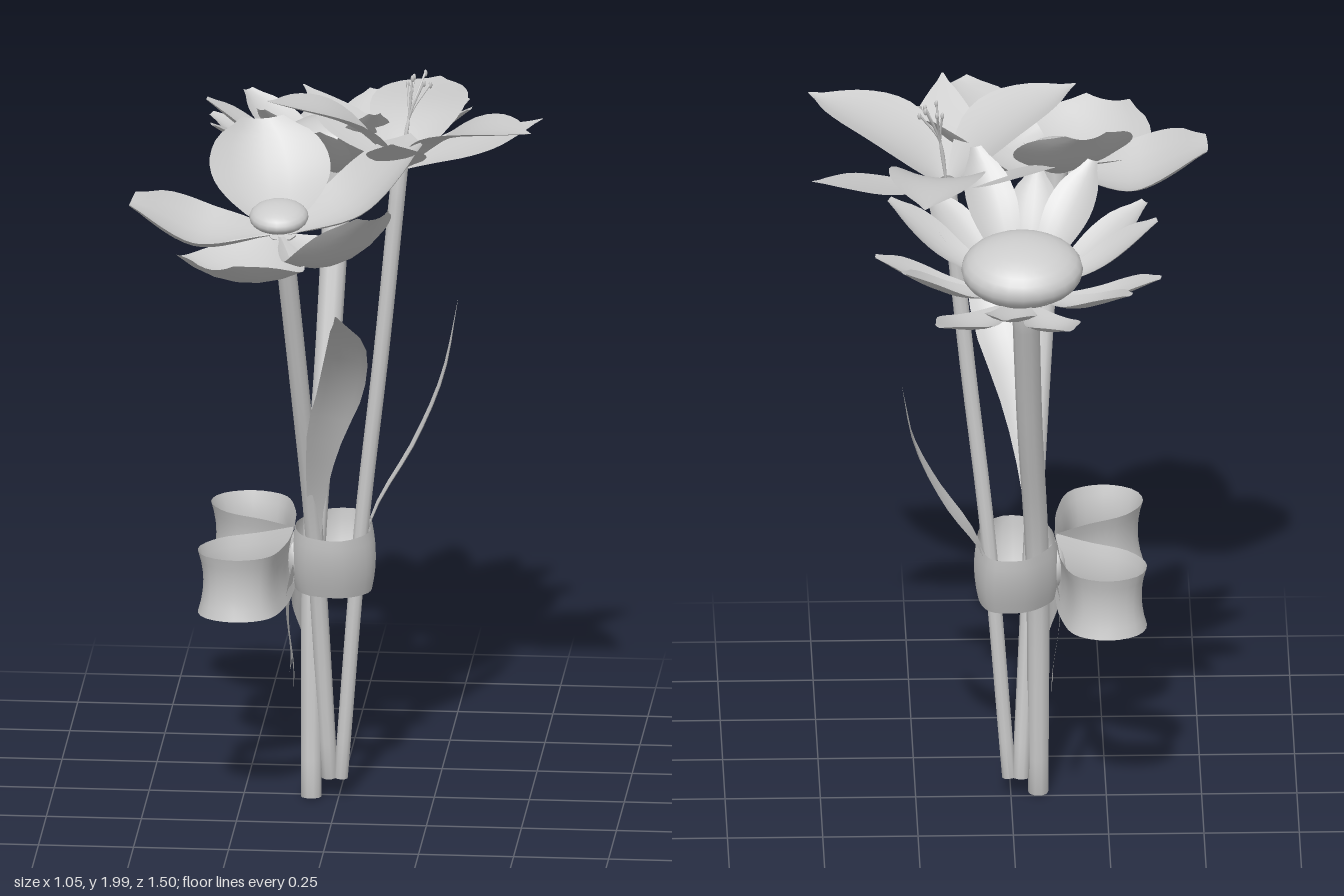
import * as THREE from 'three';

const V = (p) => new THREE.Vector3(...p);
const grey = new THREE.MeshStandardMaterial({ color: 0xcccccc, side: THREE.DoubleSide });

function addMesh(parent, name, geometry) {
  const mesh = new THREE.Mesh(geometry, grey);
  mesh.name = name;
  parent.add(mesh);
  return mesh;
}

function addGroup(parent, name) {
  const group = new THREE.Group();
  group.name = name;
  parent.add(group);
  return group;
}

// Smooth sheet from rows x cols, where pointAt(u, v) returns a Vector3
function sheet(rows, cols, pointAt) {
  const pos = [], index = [];
  for (let i = 0; i <= rows; i++) {
    for (let j = 0; j <= cols; j++) {
      pos.push(...pointAt(i / rows, j / cols).toArray());
      if (i < rows && j < cols) {
        const a = i * (cols + 1) + j, b = a + cols + 1;
        index.push(a, a + 1, b, b, a + 1, b + 1);
      }
    }
  }
  const g = new THREE.BufferGeometry();
  g.setAttribute('position', new THREE.Float32BufferAttribute(pos, 3));
  g.setIndex(index);
  g.computeVertexNormals();
  return g;
}

// Petal or leaf: half widths swept along a curve, with a cupped cross-section
function blade(points, widths, cup, side) {
  const curve = new THREE.CatmullRomCurve3(points.map(V));
  const across = side ? V(side).normalize()
    : V(points.at(-1)).sub(V(points[0])).cross(V([0, 1, 0])).normalize();
  const widthCurve = new THREE.SplineCurve(widths.map((w, i) => new THREE.Vector2(i, w)));
  return sheet(14, 6, (u, v) => {
    const s = v * 2 - 1, w = Math.max(0.001, widthCurve.getPoint(u).y);
    const normal = across.clone().cross(curve.getTangentAt(u)).normalize();
    return curve.getPointAt(u).addScaledVector(across, s * w).addScaledVector(normal, cup * w * s * s);
  });
}

// Petal from flower base to tip; bend shifts the middle point up or down
function petal(base, tip, mid, bend, widths, cup) {
  const m = base.map((b, i) => b + (tip[i] - b) * mid);
  m[1] += bend;
  return blade([base, m, tip], widths, cup);
}

// Tapered stem along a curve, closed at both ends
function stem(points, r0, r1) {
  const curve = new THREE.CatmullRomCurve3(points.map(V));
  const n = 16, frames = curve.computeFrenetFrames(n, false);
  return sheet(n + 2, 10, (u, v) => {
    const k = Math.round(u * (n + 2)), i = Math.min(n, Math.max(0, k - 1));
    const r = k === 0 || k === n + 2 ? 0 : r0 + (r1 - r0) * (i / n);
    const a = v * Math.PI * 2;
    return curve.getPointAt(i / n)
      .addScaledVector(frames.normals[i], r * Math.cos(a))
      .addScaledVector(frames.binormals[i], r * Math.sin(a));
  });
}

// Upright ribbon along a plan path of [x, z], waisted in the middle and narrowing in z downwards
function ribbon(path, closed, waist, taper) {
  const curve = new THREE.CatmullRomCurve3(path.map(([x, z]) => V([x, 0, z])), closed);
  return sheet(32, 6, (u, v) => {
    const t = curve.getTangentAt(u), s = v * 2 - 1;
    const p = curve.getPointAt(u).addScaledVector(V([-t.z, 0, t.x]), waist * (1 - s * s));
    p.z *= 1 - taper * (1 - v);
    p.y = 0.665 + 0.085 * s;
    return p;
  });
}

function buildLily(parent) {
  const g = addGroup(parent, 'lily');
  addMesh(g, 'lilyStem', stem([[0.005, 0.06, 0.01], [0.06, 0.75, 0.025], [0.115, 1.25, 0.04], [0.165, 1.765, 0.045]], 0.019, 0.022));
  const base = [0.167, 1.745, 0.04];
  const wide = [0.015, 0.078, 0.122, 0.12, 0.078, 0.002];
  const narrow = [0.01, 0.035, 0.07, 0.078, 0.045, 0.002];
  for (const tip of [[0.235, 1.87, -0.385], [-0.175, 1.97, 0.19], [0.525, 1.92, 0.26]])
    addMesh(g, 'lilyInnerPetal', petal(base, tip, 0.4, 0.05, wide, 0.2));
  for (const tip of [[0.525, 1.84, -0.13], [0.17, 1.92, 0.38], [-0.11, 1.9, -0.19]])
    addMesh(g, 'lilyOuterPetal', petal(base, tip, 0.45, -0.005, narrow, 0.05));
  // Stamens fan out from the throat
  for (let i = 0; i < 6; i++) {
    const a = i * Math.PI / 3, x = 0.21 + 0.03 * Math.cos(a), z = 0.0 + 0.03 * Math.sin(a);
    const y = 1.97 + 0.012 * (i % 3);
    addMesh(g, 'stamen', stem([base, [0.185, 1.88, 0.025], [x, y, z]], 0.003, 0.003));
    const anther = addMesh(g, 'anther', new THREE.SphereGeometry(0.005, 6, 5));
    anther.scale.y = 2;
    anther.position.set(x, y - 0.004, z);
  }
}

function buildRoundFlower(parent) {
  const g = addGroup(parent, 'roundFlower');
  addMesh(g, 'roundFlowerStem', stem([[-0.025, 0.06, 0.005], [-0.06, 0.75, 0.075], [-0.085, 1.15, 0.19], [-0.12, 1.64, 0.33]], 0.022, 0.026));
  const widths = [0.025, 0.1, 0.15, 0.172, 0.168, 0.135, 0.06];
  // Tip, size and middle bend of each petal
  const petals = [
    [[-0.525, 1.72, 0.32], 1, -0.06], [[-0.275, 1.675, 0.735], 1, -0.075],
    [[0.145, 1.785, 0.61], 0.9, -0.105], [[0.23, 1.87, 0.2], 0.9, -0.06],
    [[-0.2, 1.875, 0.04], 0.92, -0.025],
  ];
  for (const [tip, size, bend] of petals) {
    const a = Math.atan2(tip[2] - 0.34, tip[0] + 0.13);
    const base = [-0.13 + 0.02 * Math.cos(a), 1.65, 0.34 + 0.02 * Math.sin(a)];
    addMesh(g, 'roundPetal', petal(base, tip, 0.5, bend, widths.map((w) => w * size), 0.28));
  }
  const centre = addMesh(g, 'roundFlowerCentre', new THREE.SphereGeometry(0.078, 20, 12));
  centre.scale.y = 0.45;
  centre.position.set(-0.13, 1.705, 0.35);
  centre.rotation.x = 0.2;
  const calyx = addMesh(g, 'roundFlowerCalyx', new THREE.CylinderGeometry(0.04, 0.026, 0.06, 10));
  calyx.position.set(-0.122, 1.63, 0.33);
  calyx.rotation.x = 0.3;
}

function buildDaisy(parent) {
  const g = addGroup(parent, 'daisy');
  addMesh(g, 'daisyStem', stem([[-0.072, 0.01, 0.025], [-0.068, 0.7, -0.03], [-0.045, 1.15, -0.165], [-0.03, 1.58, -0.31]], 0.027, 0.036));
  const calyx = addMesh(g, 'daisyCalyx', new THREE.CylinderGeometry(0.065, 0.042, 0.09, 14));
  calyx.position.set(-0.027, 1.595, -0.33);
  calyx.rotation.x = -0.3;
  const widths = [0.02, 0.038, 0.058, 0.069, 0.056, 0.015];
  for (let i = 0; i < 14; i++) {
    const a = (8 + i * 360 / 14) * Math.PI / 180, low = i % 2;
    const dx = Math.sin(a), dz = -Math.cos(a), r = 0.375 - 0.02 * dz + 0.018 * Math.sin(i * 2.3);
    const base = [-0.02 + 0.05 * dx, 1.625 - 0.02 * low + 0.01 * dz, -0.36 + 0.05 * dz];
    const tip = [-0.02 + r * dx, 1.8 - 0.055 * low + r * 0.22 * dz, -0.36 + r * dz];
    addMesh(g, 'daisyPetal', petal(base, tip, 0.5, -0.028, widths, 0.3));
  }
  const disc = addMesh(g, 'daisyDisc', new THREE.SphereGeometry(0.16, 24, 14));
  disc.scale.set(1, 0.48, 0.88);
  disc.position.set(-0.02, 1.69, -0.37);
  disc.rotation.x = -0.22;
}

function buildLeaves(parent) {
  addMesh(parent, 'frontLeaf', blade(
    [[-0.05, 0.58, 0.05], [-0.055, 0.8, 0.1], [-0.02, 1.06, 0.22], [0.03, 1.22, 0.31], [0.06, 1.4, 0.46], [0.045, 1.53, 0.66]],
    [0.015, 0.018, 0.034, 0.054, 0.06, 0.045, 0.002], 0.15, [1, -0.15, 0.1]));
  addMesh(parent, 'sideLeaf', blade(
    [[0.03, 0.58, -0.01], [0.09, 0.77, -0.08], [0.19, 0.94, -0.14], [0.26, 1.11, -0.195], [0.292, 1.3, -0.25]],
    [0.015, 0.035, 0.055, 0.055, 0.04, 0.002], 0.1, [0.15, 0.25, 1]));
}

function buildBow(parent) {
  const g = addGroup(parent, 'bow');
  addMesh(g, 'wrapBand', ribbon(
    [[-0.115, 0], [-0.08, 0.11], [0.01, 0.145], [0.075, 0.08], [0.085, -0.02], [0.05, -0.14], [-0.03, -0.145], [-0.09, -0.08]], true, 0.01, 0.3));
  const knot = addMesh(g, 'knot', new THREE.SphereGeometry(0.045, 12, 8));
  knot.scale.set(0.7, 1.3, 1);
  knot.position.set(-0.115, 0.665, 0.01);
  for (const side of [1, -1]) {
    const z = (d) => 0.025 + side * d;
    addMesh(g, 'bowLoop', ribbon(
      [[-0.12, z(0)], [-0.2, z(0.055)], [-0.305, z(0.115)], [-0.352, z(0.2)], [-0.33, z(0.275)],
        [-0.25, z(0.31)], [-0.165, z(0.275)], [-0.125, z(0.15)], [-0.115, z(0)]], false, -side * 0.014, 0));
    // Tail with a notched end
    const end = (v) => 1 - 0.22 * (1 - Math.abs(v * 2 - 1));
    addMesh(g, 'bowTail', sheet(10, 4, (u, v) => {
      const t = u * end(v), s = v * 2 - 1, half = 0.045 + 0.03 * t;
      return V([-0.115 - 0.012 * Math.sin(t * 5), 0.64 - 0.235 * t + half * s * 0.55, z(0.02 + 0.215 * t + half * s * 0.85)]);
    }));
  }
}

export function createModel() {
  const model = new THREE.Group();
  model.name = 'bouquet';
  buildLily(model);
  buildRoundFlower(model);
  buildDaisy(model);
  buildLeaves(model);
  buildBow(model);
  return model;
}
